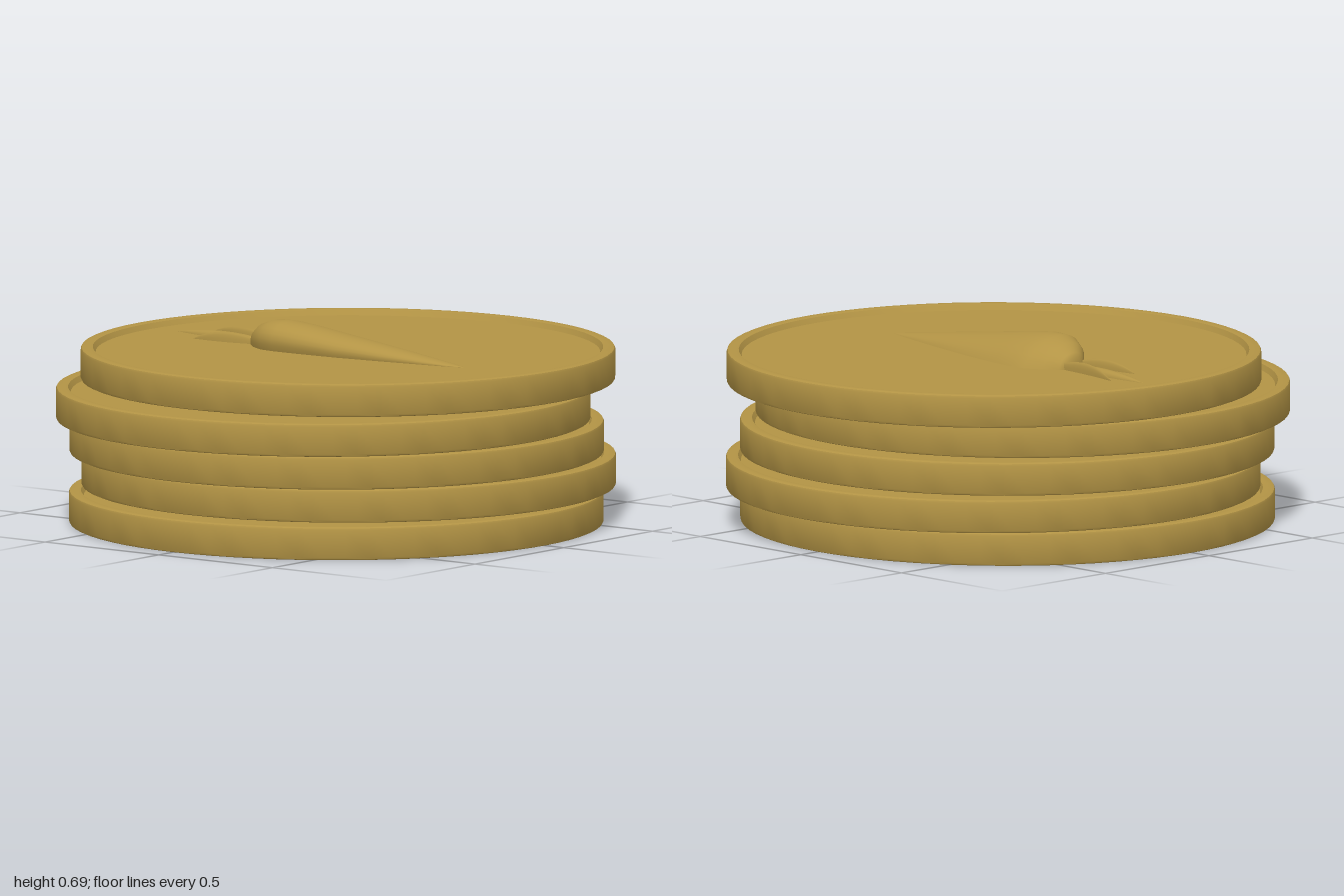
import * as THREE from 'three';
import { toCreasedNormals } from 'three/addons/utils/BufferGeometryUtils.js';

const RADIUS = 0.927, HEIGHT = 0.115, PITCH = 0.1235, RECESS = 0.02;
const FIELD = HEIGHT - RECESS;

// Disc with a bevelled raised rim on both faces
function discGeometry() {
  const b = 0.01, profile = [
    [0, RECESS], [0.875, RECESS], [0.885, 0.002], [0.895, 0], [RADIUS - b, 0], [RADIUS - 0.003, 0.003], [RADIUS, b],
    [RADIUS, HEIGHT - b], [RADIUS - 0.003, HEIGHT - 0.003], [RADIUS - b, HEIGHT], [0.895, HEIGHT],
    [0.885, HEIGHT - 0.002], [0.875, FIELD], [0, FIELD],
  ].map(([x, y]) => new THREE.Vector2(x, y));
  return toCreasedNormals(new THREE.LatheGeometry(profile, 72), 0.6);
}

// Half-round relief swept from +z to -z; stations are [x, z, halfWidth, height, lean]
function reliefGeometry(stations, sides = 14) {
  const pos = [], index = [];
  stations.forEach(([x, z, w, h, lean], i) => {
    for (let j = 0; j <= sides; j++) {
      const t = (j / sides) * Math.PI;
      pos.push(x + w * Math.cos(t) + lean * Math.sin(t), FIELD + h * Math.sin(t), z);
      if (i < stations.length - 1 && j < sides) {
        const a = i * (sides + 1) + j, c = a + sides + 1;
        index.push(a, c, a + 1, c, c + 1, a + 1);
      }
    }
  });
  const g = new THREE.BufferGeometry();
  g.setAttribute('position', new THREE.Float32BufferAttribute(pos, 3));
  g.setIndex(index);
  g.computeVertexNormals();
  return g;
}

// Slender leaf that swells in the middle and curves to a point
function leafGeometry(x0, z0, x1, z1, width, height, bow) {
  const stations = [], n = 8;
  for (let i = 0; i <= n; i++) {
    const t = i / n, s = Math.pow(Math.sin(Math.PI * (0.12 + 0.88 * t)), 0.8);
    stations.push([
      x0 + (x1 - x0) * t + bow * Math.sin(Math.PI * t),
      z0 + (z1 - z0) * t, width * s, height * s, 0,
    ]);
  }
  return reliefGeometry(stations, 8);
}

export function createModel() {
  const model = new THREE.Group();
  model.name = 'coinStack';
  const gold = new THREE.MeshStandardMaterial({ color: 0xb39445 });
  gold.side = THREE.DoubleSide;

  const parts = [
    ['disc', discGeometry()],
    ['carrotRoot', reliefGeometry([
      [-0.05, 0.55, 0.002, 0, 0],
      [-0.048, 0.5, 0.024, 0.007, -0.003],
      [-0.043, 0.4, 0.046, 0.02, -0.008],
      [-0.036, 0.25, 0.077, 0.04, -0.017],
      [-0.027, 0.05, 0.113, 0.066, -0.033],
      [-0.018, -0.12, 0.132, 0.089, -0.046],
      [-0.014, -0.21, 0.138, 0.098, -0.05],
      [-0.013, -0.27, 0.132, 0.096, -0.046],
      [-0.011, -0.33, 0.1, 0.078, -0.03],
      [-0.008, -0.375, 0.06, 0.052, -0.012],
      [-0.006, -0.39, 0.045, 0.035, 0],
      [-0.005, -0.393, 0, 0, 0],
    ])],
    ['leftLeaf', leafGeometry(0.032, -0.36, 0.075, -0.66, 0.01, 0.037, -0.012)],
    ['middleLeaf', leafGeometry(-0.005, -0.36, 0.025, -0.77, 0.026, 0.022, 0)],
    ['rightLeaf', leafGeometry(-0.052, -0.36, -0.08, -0.62, 0.01, 0.035, -0.006)],
  ];

  // Stack of identical coins, each nudged sideways
  [0, 0.07, 0.002, -0.073, 0.066].forEach((x, i) => {
    const coin = new THREE.Group();
    coin.name = `coin${i + 1}`;
    coin.position.set(x, i * PITCH, 0);
    for (const [name, geometry] of parts) {
      const mesh = new THREE.Mesh(geometry, gold);
      mesh.name = name;
      coin.add(mesh);
    }
    model.add(coin);
  });
  return model;
}
